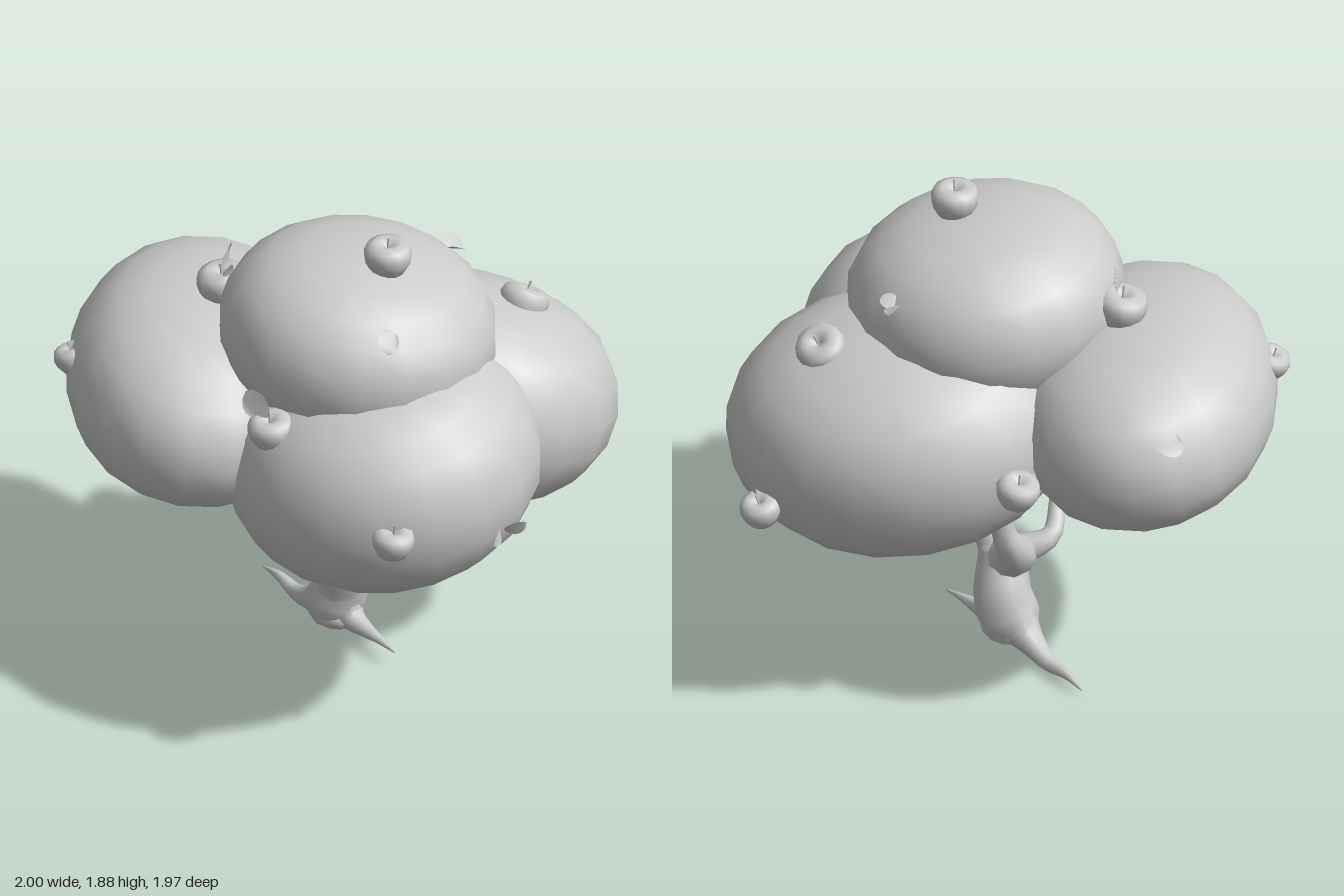
import * as THREE from 'three';
import { mergeVertices } from 'three/addons/utils/BufferGeometryUtils.js';

const material = new THREE.MeshStandardMaterial({ color: 0xcccccc });
const leafMaterial = new THREE.MeshStandardMaterial({ color: 0xcccccc, side: THREE.DoubleSide });
const V = (a) => new THREE.Vector3(...a);

function addMesh(group, name, geometry, mat = material) {
  const mesh = new THREE.Mesh(geometry, mat);
  mesh.name = name;
  group.add(mesh);
  return mesh;
}

// Smooth tube whose thickness follows a list of radii
function taperedTube(points, radii, segments = 16, sides = 10) {
  const curve = new THREE.CatmullRomCurve3(points.map(V));
  const geo = new THREE.TubeGeometry(curve, segments, 1, sides);
  const pos = geo.attributes.position;
  const p = new THREE.Vector3();
  for (let i = 0; i <= segments; i++) {
    const centre = curve.getPointAt(i / segments);
    // Radii belong to the control points, so use the curve's own parameter
    const t = curve.getUtoTmapping(i / segments) * (radii.length - 1);
    const k = Math.min(Math.floor(t), radii.length - 2);
    const r = THREE.MathUtils.lerp(radii[k], radii[k + 1], t - k);
    for (let j = 0; j <= sides; j++) {
      const n = i * (sides + 1) + j;
      p.fromBufferAttribute(pos, n).sub(centre).multiplyScalar(r).add(centre);
      pos.setXYZ(n, p.x, Math.max(p.y, 0), p.z);
    }
  }
  geo.deleteAttribute('uv');
  geo.deleteAttribute('normal');
  const merged = mergeVertices(geo, 1e-5);
  merged.computeVertexNormals();
  return merged;
}

// Sphere with gently flattened poles
function crownGeometry() {
  const geo = new THREE.SphereGeometry(1, 18, 12);
  geo.deleteAttribute('uv');
  geo.deleteAttribute('normal');
  const pos = geo.attributes.position;
  for (let i = 0; i < pos.count; i++) {
    const y = pos.getY(i);
    pos.setY(i, y * (1.18 - 0.18 * y * y));
  }
  const merged = mergeVertices(geo, 1e-5);
  merged.computeVertexNormals();
  return merged;
}

// Rounded oval leaf, cupped along its middle, growing up from its base
function leafGeometry() {
  const shape = new THREE.Shape();
  shape.moveTo(0, 0);
  shape.bezierCurveTo(0.55, 0.2, 0.5, 0.85, 0, 1);
  shape.bezierCurveTo(-0.5, 0.85, -0.55, 0.2, 0, 0);
  const geo = new THREE.ShapeGeometry(shape, 6);
  const pos = geo.attributes.position;
  for (let i = 0; i < pos.count; i++) {
    pos.setZ(i, Math.abs(pos.getX(i)) * 0.4 + 0.1 * pos.getY(i));
  }
  geo.computeVertexNormals();
  return geo;
}

export function createModel() {
  const tree = new THREE.Group();
  tree.name = 'fruitTree';

  // Trunk, roots and branches
  const wood = new THREE.Group();
  wood.name = 'wood';
  tree.add(wood);
  const limbs = [
    ['trunk', [[-0.075, 0.05, 0.02], [-0.075, 0.12, 0.02], [-0.05, 0.21, 0.01], [-0.015, 0.31, 0.04], [0, 0.39, 0.06], [0, 0.43, 0.06]],
      [0.09, 0.115, 0.108, 0.096, 0.085, 0.03]],
    ['leftRoot', [[-0.04, 0.16, 0.02], [0.02, 0.09, 0.02], [0.1, 0.075, 0.02], [0.18, 0.07, 0.02], [0.27, 0.06, 0.02]],
      [0.08, 0.05, 0.03, 0.016, 0.004]],
    ['rightRoot', [[-0.06, 0.22, 0.01], [-0.14, 0.1, 0.02], [-0.21, 0.06, 0.02], [-0.31, 0.03, 0.01], [-0.42, 0.04, 0], [-0.52, 0.025, -0.01]],
      [0.09, 0.075, 0.048, 0.03, 0.018, 0.004]],
    ['leftBranch', [[0, 0.34, 0.05], [0.07, 0.41, 0.06], [0.14, 0.49, 0.06], [0.155, 0.58, 0.05], [0.1, 0.72, 0.03]],
      [0.08, 0.068, 0.045, 0.038, 0.035]],
    ['rightBranch', [[0, 0.32, 0.05], [-0.11, 0.41, 0.02], [-0.18, 0.49, -0.05], [-0.18, 0.6, -0.1], [-0.165, 0.78, -0.08]],
      [0.085, 0.08, 0.06, 0.044, 0.035]],
    ['frontBranch', [[-0.1, 0.41, 0.06], [-0.16, 0.46, 0.15], [-0.09, 0.54, 0.24], [-0.03, 0.64, 0.31], [-0.02, 0.82, 0.33]],
      [0.06, 0.038, 0.028, 0.024, 0.018]],
  ];
  for (const [name, points, radii] of limbs) addMesh(wood, name, taperedTube(points, radii));
  // Closed underside of the trunk
  const base = addMesh(wood, 'trunkBase', new THREE.SphereGeometry(1, 12, 8));
  base.position.set(-0.07, 0.08, 0.02);
  base.scale.set(0.11, 0.06, 0.1);

  // Foliage masses: name, centre, radii, tilt (turned about y first)
  const crown = crownGeometry();
  const masses = [
    ['frontFoliage', [-0.415, 1.105, 0.38], [0.68, 0.365, 0.5], [-0.14, -Math.PI / 4, 0]],
    ['sideFoliage', [0.35, 1.03, 0.145], [0.595, 0.425, 0.59], [0.14, 0, 0.04]],
    ['backFoliage', [0.14, 1.03, -0.325], [0.65, 0.415, 0.54], [-0.28, Math.PI / 4, -0.13]],
    ['topFoliage', [0.115, 1.435, 0.07], [0.52, 0.335, 0.52], [-0.1, 0, -0.08]],
  ];
  for (const [name, centre, radii, tilt] of masses) {
    const mesh = addMesh(tree, name, crown);
    mesh.position.set(...centre);
    mesh.scale.set(...radii);
    mesh.rotation.set(...tilt, 'YXZ');
  }

  // Fruit with a dimple at each end and a thin stem
  const profile = [[0, -0.55], [0.35, -0.74], [0.72, -0.64], [0.94, -0.2], [1, 0.2], [0.88, 0.52],
    [0.55, 0.66], [0.25, 0.56], [0, 0.36]];
  const fruitGeo = new THREE.LatheGeometry(profile.map(([x, y]) => new THREE.Vector2(x, y)), 14);
  const stemGeo = taperedTube([[0, 0.36, 0], [0.02, 0.66, 0], [0.06, 0.92, 0.02]], [0.05, 0.04, 0.05], 5, 6);
  // Position, radius, tilt
  const fruits = [
    [[0.24, 1.8, 0.03], 0.09, [0, 0, 0]],
    [[-0.36, 1.5, 0.32], 0.098, [0.1, 0, 0.1]],
    [[-0.67, 1.21, 0.78], 0.072, [0.2, 0, 0.3]],
    [[0.25, 1.28, 0.6], 0.087, [0.15, 0, 0]],
    [[0.82, 1.03, 0.49], 0.08, [0, 0, -0.1]],
    [[0.41, 0.555, 0.16], 0.075, [0, 0, 0]],
    [[0.24, 0.845, -0.92], 0.077, [-0.3, 0, 0]],
    [[0.3, 1.37, -0.57], 0.095, [-0.5, 0, 0.1]],
    [[-0.49, 1.02, -0.3], 0.083, [0, 0, 0.2]],
  ];
  for (const [position, radius, tilt] of fruits) {
    const fruit = new THREE.Group();
    fruit.name = 'fruit';
    addMesh(fruit, 'fruitBody', fruitGeo);
    addMesh(fruit, 'fruitStem', stemGeo);
    fruit.position.set(...position);
    fruit.rotation.set(...tilt);
    fruit.scale.setScalar(radius);
    tree.add(fruit);
  }

  // Loose leaves, faces turned outwards: base, growing direction, length
  const leafGeo = leafGeometry();
  const leaves = [
    [[-0.35, 1.56, 0.3], [0.3, 1, 0], 0.12],
    [[-0.33, 1.57, 0.33], [0.8, 0.3, 0.2], 0.07],
    [[0.24, 1.33, 0.6], [-1, 0.6, 0.1], 0.13],
    [[0.47, 1.68, 0.23], [0.5, -0.7, 0.3], 0.1],
    [[0.94, 0.96, 0.06], [0.5, 0.4, -0.8], 0.09],
    [[0.94, 0.97, 0.08], [0.4, -0.3, 0.8], 0.08],
    [[-0.86, 1.29, 0.05], [-1, -0.5, 0.4], 0.12],
    [[0.09, 1.58, -0.37], [-0.4, 0, -0.9], 0.09],
    [[0.09, 1.58, -0.37], [0.8, 0.1, -0.4], 0.08],
    [[0.25, 0.9, -0.92], [0.2, 1, -0.1], 0.1],
  ];
  const heart = new THREE.Vector3(0, 1.1, 0);
  for (const [position, direction, size] of leaves) {
    const leaf = addMesh(tree, 'leaf', leafGeo, leafMaterial);
    const along = V(direction).normalize();
    const across = along.clone().cross(V(position).sub(heart)).normalize();
    const outward = across.clone().cross(along);
    leaf.quaternion.setFromRotationMatrix(new THREE.Matrix4().makeBasis(across, along, outward));
    leaf.position.set(...position);
    leaf.scale.setScalar(size);
  }
  return tree;
}
